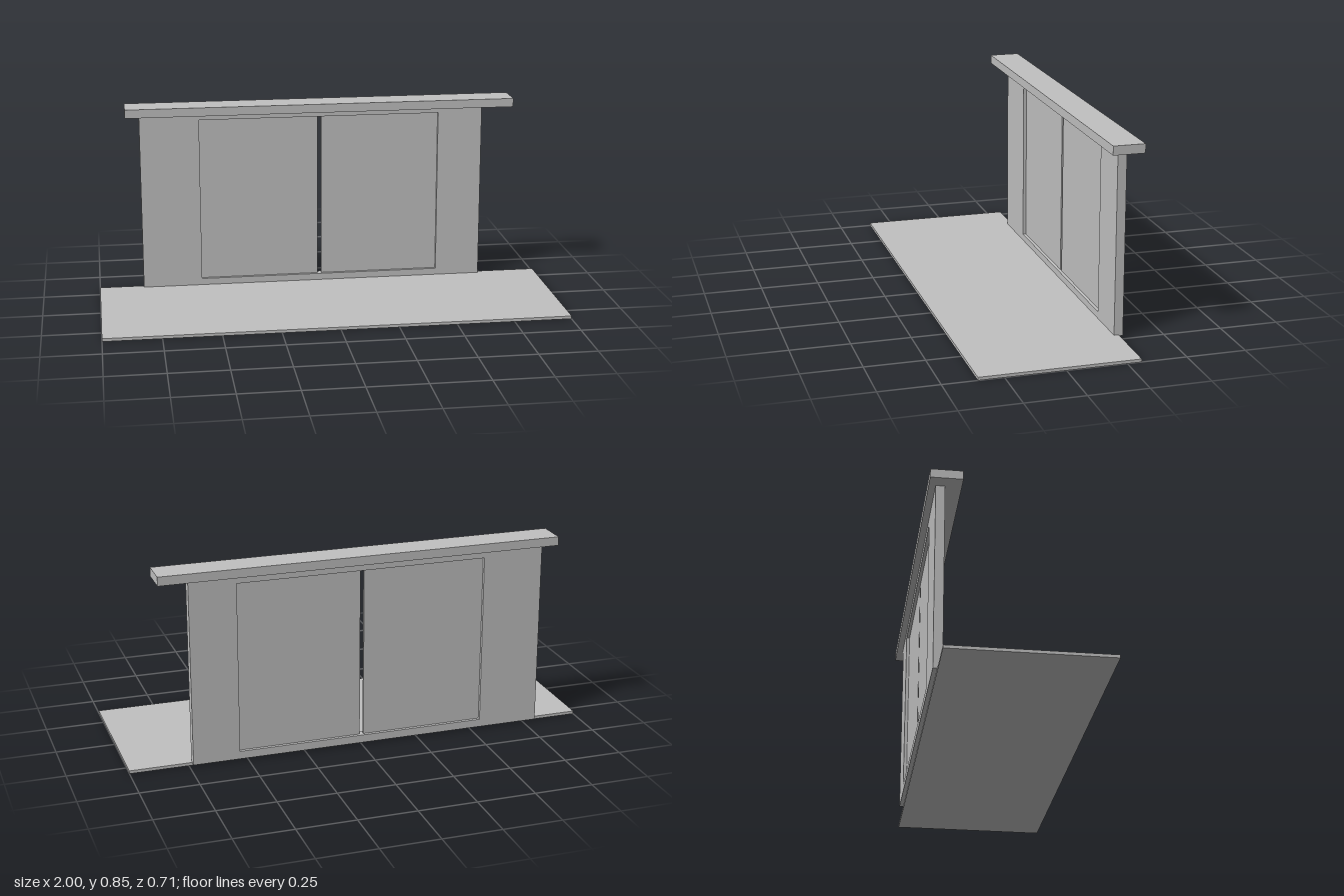
import * as THREE from 'three';

export function createModel() {
  const group = new THREE.Group();
  const grey = new THREE.MeshStandardMaterial({ color: 0xc0c0c0 });
  grey.name = 'light grey';

  // Box given by its lower and upper limits on each axis
  function box(name, x0, x1, y0, y1, z0, z1) {
    const mesh = new THREE.Mesh(new THREE.BoxGeometry(x1 - x0, y1 - y0, z1 - z0), grey);
    mesh.position.set((x0 + x1) / 2, (y0 + y1) / 2, (z0 + z1) / 2);
    mesh.name = name;
    group.add(mesh);
  }

  // Corners of a rectangle, counter-clockwise
  const rect = (x0, x1, y0, y1) =>
    [[x0, y0], [x1, y0], [x1, y1], [x0, y1]].map(([x, y]) => new THREE.Vector2(x, y));

  // Floor slab and roof beam
  box('floor', -1, 1, 0, 0.013, -0.31, 0.356);
  box('roofBeam', -0.866, 0.863, 0.809, 0.847, -0.356, -0.223);

  // Wall with a wide doorway cut through it
  const outline = new THREE.Shape(rect(-0.804, 0.735, 0.008, 0.809));
  outline.holes.push(new THREE.Path(rect(-0.541, 0.535, 0.042, 0.777)));
  const wall = new THREE.Mesh(
    new THREE.ExtrudeGeometry(outline, { depth: 0.038, bevelEnabled: false }), grey);
  wall.position.z = -0.328;
  wall.name = 'wall';
  group.add(wall);

  // Two thin door panels set midway in the wall, with a narrow slit between
  box('rightDoor', -0.541, -0.011, 0.042, 0.777, -0.314, -0.304);
  box('leftDoor', 0.005, 0.535, 0.042, 0.777, -0.314, -0.304);

  return group;
}
